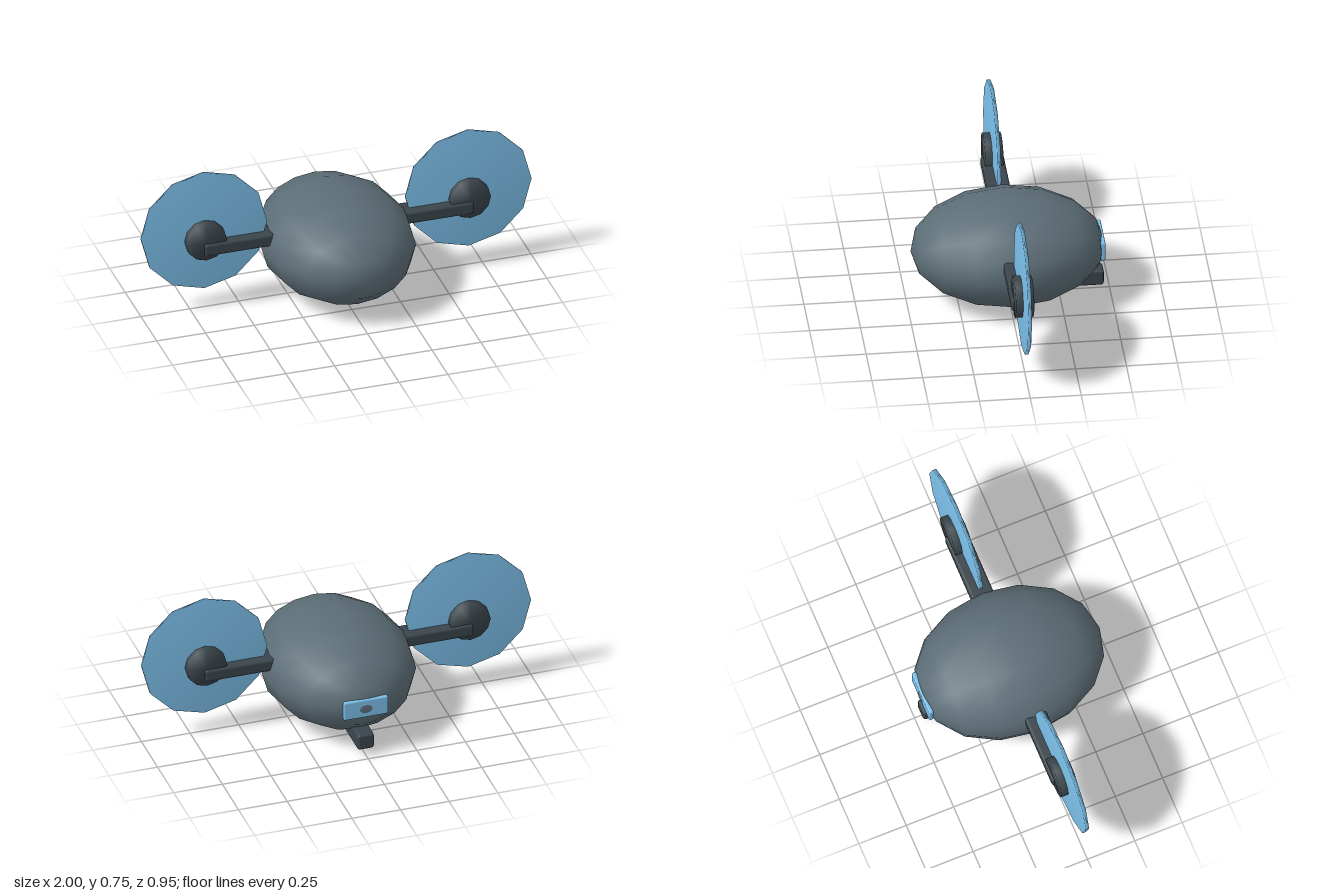
import * as THREE from 'three';
import { mergeVertices } from 'three/addons/utils/BufferGeometryUtils.js';
import { RoundedBoxGeometry } from 'three/addons/geometries/RoundedBoxGeometry.js';

const shell = new THREE.MeshStandardMaterial({ color: 0x5c6d76 });
const dark = new THREE.MeshStandardMaterial({ color: 0x3a454b });
const blue = new THREE.MeshStandardMaterial({ color: 0x7cc0ea });

function part(parent, name, geometry, material, x, y, z) {
  const mesh = new THREE.Mesh(geometry, material);
  mesh.name = name;
  mesh.position.set(x, y, z);
  parent.add(mesh);
  return mesh;
}

// Box with softened edges
const softBox = (w, h, d, r) => new RoundedBoxGeometry(w, h, d, 2, r);

// Twelve-sided disc facing z, with normals blended over its rim
function softDisc(radius, depth) {
  const geo = new THREE.CylinderGeometry(radius, radius, depth, 12).rotateX(Math.PI / 2);
  geo.deleteAttribute('uv');
  geo.deleteAttribute('normal');
  const merged = mergeVertices(geo, 1e-4);
  merged.computeVertexNormals();
  return merged;
}

export function createModel() {
  const model = new THREE.Group();
  model.name = 'twinDiscCraft';

  // Egg-shaped hull, poles at nose and tail
  const hull = new THREE.SphereGeometry(1, 16, 8).rotateX(Math.PI / 2).scale(0.38, 0.267, 0.477);
  part(model, 'hull', hull, shell, 0, 0.268, 0);

  // Arm, hub and disc on each side
  for (const side of [1, -1]) {
    const wing = new THREE.Group();
    wing.name = side > 0 ? 'leftWing' : 'rightWing';
    model.add(wing);
    part(wing, 'arm', softBox(0.39, 0.066, 0.114, 0.014), dark, side * 0.495, 0.343, 0);
    part(wing, 'hub', softDisc(0.103, 0.09), dark, side * 0.677, 0.388, 0);
    part(wing, 'disc', softDisc(0.322, 0.018), blue, side * 0.678, 0.432, 0);
  }

  // Rear panel and the skid under the tail
  part(model, 'rearPanel', softBox(0.23, 0.1, 0.024, 0.008), blue, 0, 0.27, -0.457);
  part(model, 'tailSkid', softBox(0.085, 0.084, 0.37, 0.014), dark, 0, 0.078, -0.284);

  return model;
}
